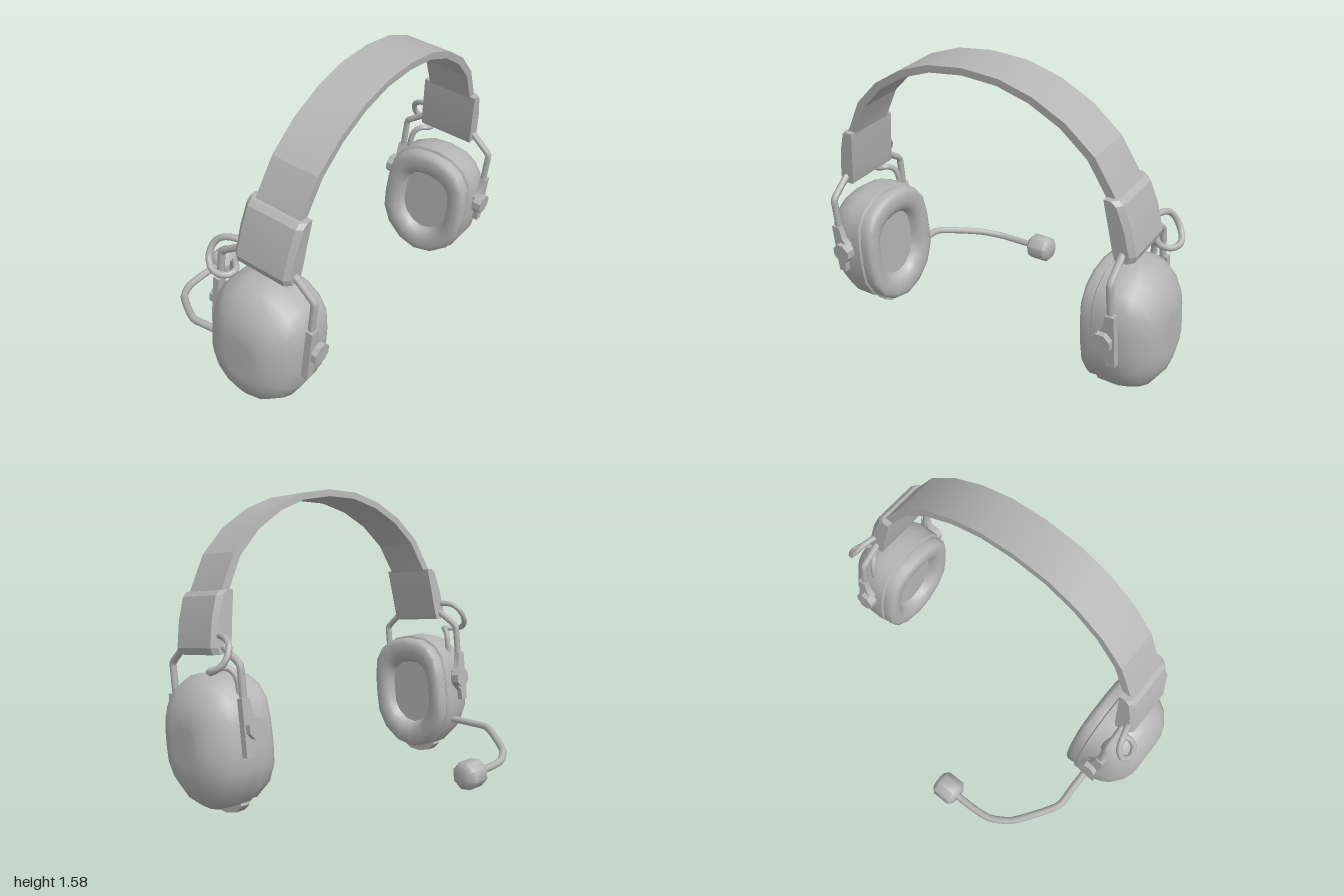
import * as THREE from 'three';
import { toCreasedNormals } from 'three/addons/utils/BufferGeometryUtils.js';

const V = (x, y, z) => new THREE.Vector3(x, y, z);
const TILT = 0.11;   // lean of the whole headset about x
const MID = 0.225;   // depth of the headset's centre plane before leaning

// Swap two corners of every triangle of a non-indexed geometry
function flip(geo) {
  const p = geo.attributes.position;
  const a = V(), b = V();
  for (let i = 0; i < p.count; i += 3) {
    a.fromBufferAttribute(p, i + 1);
    b.fromBufferAttribute(p, i + 2);
    p.setXYZ(i + 1, b.x, b.y, b.z);
    p.setXYZ(i + 2, a.x, a.y, a.z);
  }
}

// Closed solid through rings of equal length, with flat end caps, faces outward
function loft(rings) {
  const n = rings[0].length, pos = [];
  const tri = (...pts) => pts.forEach(q => pos.push(q.x, q.y, q.z));
  for (let r = 0; r < rings.length - 1; r++) {
    for (let i = 0; i < n; i++) {
      const j = (i + 1) % n, A = rings[r], B = rings[r + 1];
      tri(A[i], A[j], B[j]);
      tri(A[i], B[j], B[i]);
    }
  }
  const first = rings[0], last = rings[rings.length - 1];
  for (let i = 1; i < n - 1; i++) {
    tri(first[0], first[i + 1], first[i]);
    tri(last[0], last[i], last[i + 1]);
  }
  const geo = new THREE.BufferGeometry();
  geo.setAttribute('position', new THREE.Float32BufferAttribute(pos, 3));
  let volume = 0;
  const p = geo.attributes.position, a = V(), b = V(), c = V();
  for (let i = 0; i < p.count; i += 3) {
    a.fromBufferAttribute(p, i);
    b.fromBufferAttribute(p, i + 1);
    c.fromBufferAttribute(p, i + 2);
    volume += a.dot(b.cross(c));
  }
  if (volume < 0) flip(geo);
  return geo;
}

// Round wire through points; bends stay nearly straight-sided when tension is low
function wire(points, radius, segments, tension = 0.5) {
  const curve = new THREE.CatmullRomCurve3(points, false, 'catmullrom', tension);
  return new THREE.TubeGeometry(curve, segments, radius, 8);
}

// Ear cup outline, half of it from top to bottom: [depth, height] about the centre
const HALF = [[0, 0.34], [0.11, 0.325], [0.19, 0.28], [0.24, 0.21], [0.258, 0.1],
  [0.262, -0.02], [0.255, -0.13], [0.205, -0.235], [0.11, -0.315], [0, -0.345]];
const OUTLINE = [...HALF, ...HALF.slice(1, -1).reverse().map(([w, v]) => [-w, v])];
const cupRings = profile => profile.map(([x, s]) =>
  OUTLINE.map(([w, v]) => V(x, 0.4 + v * s, MID + w * s)));

export function createModel() {
  const model = new THREE.Group();
  model.name = 'headset';
  const leaning = new THREE.Group();
  leaning.name = 'leaningFrame';
  leaning.rotation.x = TILT;
  model.add(leaning);
  const grey = new THREE.MeshStandardMaterial({ color: 0xb4b4b4 });
  grey.name = 'grey';

  function add(parent, name, source, mirrored = false, crease = 0.6) {
    let geo = source.index ? source.toNonIndexed() : source.clone();
    if (mirrored) {
      geo.scale(-1, 1, 1);
      flip(geo);
    }
    geo = toCreasedNormals(geo, crease);
    const mesh = new THREE.Mesh(geo, grey);
    mesh.name = name;
    parent.add(mesh);
  }
  function addPair(parent, name, geo, crease) {
    add(parent, name + 'Left', geo, false, crease);
    add(parent, name + 'Right', geo, true, crease);
  }

  // Headband: flat strip along a faceted arch
  const half = [[0.2, 1.589], [0.375, 1.533], [0.54, 1.44], [0.68, 1.31], [0.78, 1.13], [0.82, 1.0]];
  const arch = [...half.map(([x, y]) => [-x, y]).reverse(), [0, 1.607], ...half];
  add(leaning, 'headband', loft(arch.map(([x, y]) => {
    const ix = x * 0.945, iy = 0.95 + (y - 0.95) * 0.945;
    return [V(x, y, 0.1), V(x, y, 0.35), V(ix, iy, 0.35), V(ix, iy, 0.1)];
  })), false, 0.3);

  // Band end blocks: [height, inner x, outer x, bevel inset]
  const block = [[1.132, 0.735, 0.795, 0], [1.11, 0.737, 0.82, 0.025], [1.0, 0.755, 0.857, 0.025],
    [0.865, 0.775, 0.882, 0.025], [0.83, 0.785, 0.87, 0]];
  addPair(leaning, 'endBlock', loft(block.map(([y, xi, xo, b]) => {
    const shoulder = xo - 0.025, z0 = 0.067, z1 = 0.38;
    return [V(xi, y, z0), V(shoulder, y, z0), V(xo, y, z0 + 0.025),
      V(xo, y, z1 - 0.025), V(shoulder, y, z1), V(xi, y, z1)];
  })), 0.25);

  // Ear cup shell and padded cushion with a sunken centre
  addPair(leaning, 'earCup', loft(cupRings([[0.705, 0.97], [0.712, 1], [0.785, 1], [0.83, 0.995],
    [0.88, 0.94], [0.925, 0.85], [0.975, 0.64], [0.998, 0.43], [1.0, 0.3]])), 0.65);
  addPair(leaning, 'cushion', loft(cupRings([[0.72, 0.9], [0.71, 0.96], [0.665, 0.97], [0.645, 0.94],
    [0.636, 0.87], [0.636, 0.74], [0.645, 0.65], [0.665, 0.58], [0.695, 0.54], [0.695, 0.3]])), 0.8);

  // Curved tab under each cup
  addPair(leaning, 'bottomTab', loft([[-0.115, 0.073], [-0.07, 0.038], [0, 0.027], [0.07, 0.038], [0.115, 0.073]]
    .map(([w, y]) => [V(0.72, y, MID + w), V(0.775, y, MID + w),
      V(0.775, y + 0.05, MID + w * 0.9), V(0.72, y + 0.05, MID + w * 0.9)])));

  // Wire fork from the block to both sides of the cup
  const fork = new THREE.CurvePath();
  const forkPoints = [[0.494, 0.58], [0.494, 0.775], [0.478, 0.795], [0.39, 0.86], [0.36, 0.87]];
  const forkPath = [...forkPoints.map(([w, y]) => V(0.822, y, w)),
    ...forkPoints.map(([w, y]) => V(0.822, y, 2 * MID - w)).reverse()];
  for (let i = 0; i < forkPath.length - 1; i++) fork.add(new THREE.LineCurve3(forkPath[i], forkPath[i + 1]));
  addPair(leaning, 'wireFork', wire(forkPath, 0.018, 60, 0.1), 0.9);

  // Pivot plates and knobs, front and back of each cup
  const plateShape = new THREE.Shape([[0.85, 0.345], [0.85, 0.625], [0.805, 0.625], [0.79, 0.55],
    [0.76, 0.52], [0.76, 0.44], [0.8, 0.4], [0.805, 0.345]].map(([x, y]) => new THREE.Vector2(x, y)));
  for (const [side, plateZ, knobZ] of [['Front', 0.482, 0.52], ['Back', -0.067, -0.07]]) {
    const plate = new THREE.ExtrudeGeometry(plateShape, { depth: 0.035, bevelEnabled: false });
    addPair(leaning, 'pivotPlate' + side, plate.translate(0, 0, plateZ));
    const knob = new THREE.CylinderGeometry(0.055, 0.055, 0.05, 8);
    knob.rotateY(Math.PI / 8).rotateX(Math.PI / 2);
    addPair(leaning, 'pivotKnob' + side, knob.translate(0.79, 0.48, knobZ));
  }

  // Looped cable from each block into the cup
  const cable = [[0.83, 0.905, 0.2], [0.855, 0.905, 0.11], [0.875, 0.87, 0.055], [0.91, 0.805, 0.045],
    [0.938, 0.76, 0.09], [0.92, 0.748, 0.15], [0.87, 0.752, 0.165], [0.83, 0.755, 0.13],
    [0.81, 0.73, 0.1], [0.8, 0.68, 0.085], [0.8, 0.6, 0.08]].map(p => V(...p));
  addPair(model, 'cable', wire(cable, 0.016, 40), 0.9);

  // Microphone boom and head
  const boom = [[-0.78, 0.226, 0.06], [-0.78, 0.225, -0.1], [-0.78, 0.22, -0.225], [-0.7, 0.19, -0.35],
    [-0.615, 0.16, -0.455], [-0.51, 0.138, -0.515], [-0.4, 0.131, -0.527], [-0.27, 0.13, -0.527]].map(p => V(...p));
  add(model, 'microphoneBoom', wire(boom, 0.02, 28, 0.3), false, 0.9);
  const head = new THREE.LatheGeometry([[0, -0.072], [0.052, -0.072], [0.076, -0.05], [0.076, 0.05],
    [0.052, 0.072], [0, 0.072]].map(([r, y]) => new THREE.Vector2(r, y)), 8);
  head.rotateY(Math.PI / 8 + TILT).rotateZ(-Math.PI / 2).translate(-0.22, 0.132, -0.525);
  add(model, 'microphoneHead', head, false, 0.9);

  return model;
}
